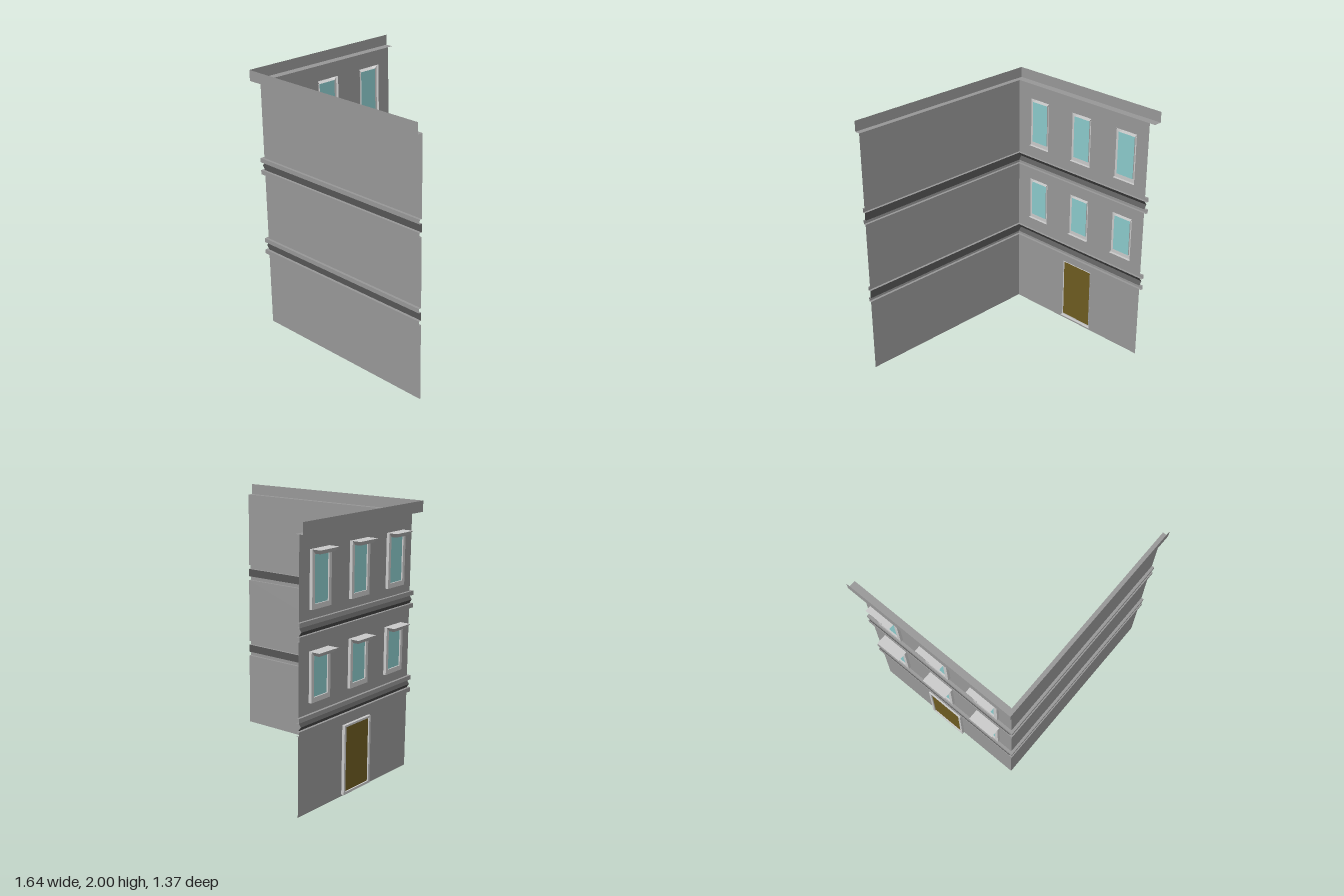
import * as THREE from 'three';

const mat = (name, color) => {
  const m = new THREE.MeshStandardMaterial({ color, side: THREE.DoubleSide });
  m.name = name;
  return m;
};

const WX = -0.735; // side wall plane
const WZ = 0.64;   // front wall plane, and minus this the back end of the side wall
const XE = 0.82;   // free end of the front wall
const OUT = 0.022; // how far frames stand out

export function createModel() {
  const wall = mat('wallGrey', 0x999999);
  const dark = mat('bandDark', 0x565656);
  const trim = mat('trimLight', 0xcccccc);
  const glass = mat('glass', 0x8ccccd);
  const wood = mat('doorWood', 0x6e5c21);

  const root = new THREE.Group();
  root.name = 'cornerFacade';

  const add = (parent, name, geometry, material) => {
    const m = new THREE.Mesh(geometry, material);
    m.name = name;
    parent.add(m);
    return m;
  };

  // Flat-shaded surface lofted through rows of points
  const loft = rows => {
    const pos = [];
    for (let i = 0; i + 1 < rows.length; i++) {
      for (let j = 0; j + 1 < rows[i].length; j++) {
        const a = rows[i][j], b = rows[i][j + 1], c = rows[i + 1][j + 1], d = rows[i + 1][j];
        pos.push(...a, ...b, ...c, ...a, ...c, ...d);
      }
    }
    const g = new THREE.BufferGeometry();
    g.setAttribute('position', new THREE.Float32BufferAttribute(pos, 3));
    g.computeVertexNormals();
    return g;
  };

  // L-shaped plan line: height, side offset, front offset, back overhang
  const line = ([y, dx, dz, e]) => [
    [WX - dx, y, -WZ - e], [WX - dx, y, WZ + dz], [XE, y, WZ + dz],
  ];
  const course = (name, material, profile) => add(root, name, loft(profile.map(line)), material);

  // Flat panel on the side wall, drawn in (z, y), standing out by d
  const polygon = pts => new THREE.Shape(pts.map(p => new THREE.Vector2(...p)));
  const rect = (z0, y0, z1, y1) => [[z0, y0], [z1, y0], [z1, y1], [z0, y1]];
  const panel = (parent, name, shape, d, material) => {
    const g = new THREE.ShapeGeometry(shape);
    g.rotateY(-Math.PI / 2);
    g.translate(WX - d, 0, 0);
    return add(parent, name, g, material);
  };

  // Strip running along a (z, y) line between two depths
  const reveal = (parent, name, pts, d0, d1, material) =>
    add(parent, name, loft([d0, d1].map(d => pts.map(([z, y]) => [WX - d, y, z]))), material);

  // Window: frame open at the top, where a splayed hood projects
  const makeWindow = (zc, y0, y1) => {
    const g = new THREE.Group();
    g.name = 'window';
    root.add(g);
    const w = 0.102, v = 0.075, b = y0 + 0.035, t = y1 - 0.03;
    const U = [[-w, y0], [w, y0], [w, y1], [v, t], [v, b], [-v, b], [-v, t], [-w, y1]];
    panel(g, 'windowFrame', polygon(U), OUT, trim);
    reveal(g, 'frameSides', [[-w, y1], [-w, y0], [w, y0], [w, y1]], 0, OUT, trim);
    reveal(g, 'frameReveal', [[-v, t], [-v, b], [v, b], [v, t]], OUT - 0.01, OUT, trim);
    panel(g, 'windowPane', polygon(rect(-v, b, v, t)), OUT - 0.01, glass);

    // Hood: splayed sides and front, floor and top
    const xi = WX - OUT + 0.01, xb = -0.798, xt = -0.82;
    add(g, 'hoodSides', loft([
      [[xi, t, -v], [xb, t, -v], [xb, t, v], [xi, t, v]],
      [[xi, y1, -w], [xt, y1, -w], [xt, y1, w], [xi, y1, w]],
    ]), trim);
    add(g, 'hoodFloor', loft([[[xi, t, -v], [xi, t, v]], [[xb, t, -v], [xb, t, v]]]), trim);
    add(g, 'hoodTop', loft([[[WX, y1, -w], [WX, y1, w]], [[xt, y1, -w], [xt, y1, w]]]), trim);
    g.position.z = zc;
    return rect(zc - w, y0, zc + w, y1);
  };

  // Door with frame all round
  const makeDoor = () => {
    const g = new THREE.Group();
    g.name = 'door';
    root.add(g);
    const outer = rect(-0.155, 0.012, 0.155, 0.525);
    const inner = rect(-0.136, 0.03, 0.136, 0.51);
    const frame = polygon(outer);
    frame.holes.push(polygon(inner));
    panel(g, 'doorFrame', frame, OUT, trim);
    reveal(g, 'doorFrameSides', [...outer, outer[0]], 0, OUT, trim);
    reveal(g, 'doorReveal', [...inner, inner[0]], OUT - 0.01, OUT, trim);
    panel(g, 'doorLeaf', polygon(inner), OUT - 0.01, wood);
    return outer;
  };

  // Storeys: pierced side wall and plain front wall
  const bays = [-0.43, 0, 0.43];
  const storeys = [
    [0, 0.58, [makeDoor()]],
    [0.705, 1.22, bays.map(z => makeWindow(z, 0.78, 1.13))],
    [1.345, 1.92, bays.map(z => makeWindow(z, 1.41, 1.804))],
  ];
  for (const [y0, y1, openings] of storeys) {
    const shape = polygon(rect(-WZ, y0, WZ, y1));
    openings.forEach(o => shape.holes.push(polygon(o)));
    panel(root, 'sideWall', shape, 0, wall);
    add(root, 'frontWall', loft([
      [[WX, y0, WZ], [XE, y0, WZ]], [[WX, y1, WZ], [XE, y1, WZ]],
    ]), wall);
  }

  // String courses: two hollow ledges with a dark band between
  const ledge = (y0, y1) => course('ledge', wall, [
    [y0, 0, 0, 0.017], [y0, 0.02, 0.02, 0.017], [y1, 0.02, 0.02, 0.017], [y1, 0, 0, 0.017],
  ]);
  for (const y of [0.58, 1.22]) {
    ledge(y, y + 0.032);
    course('darkBand', dark, [[y + 0.032, 0, 0, 0], [y + 0.062, 0.021, 0, 0], [y + 0.093, 0, 0, 0]]);
    ledge(y + 0.093, y + 0.125);
  }

  // Cornice: shelf with an upright rim, open on top
  course('cornice', wall, [
    [1.92, 0, 0, 0.045], [1.92, 0.064, 0.042, 0.045], [2, 0.064, 0.042, 0.045],
  ]);

  return root;
}
